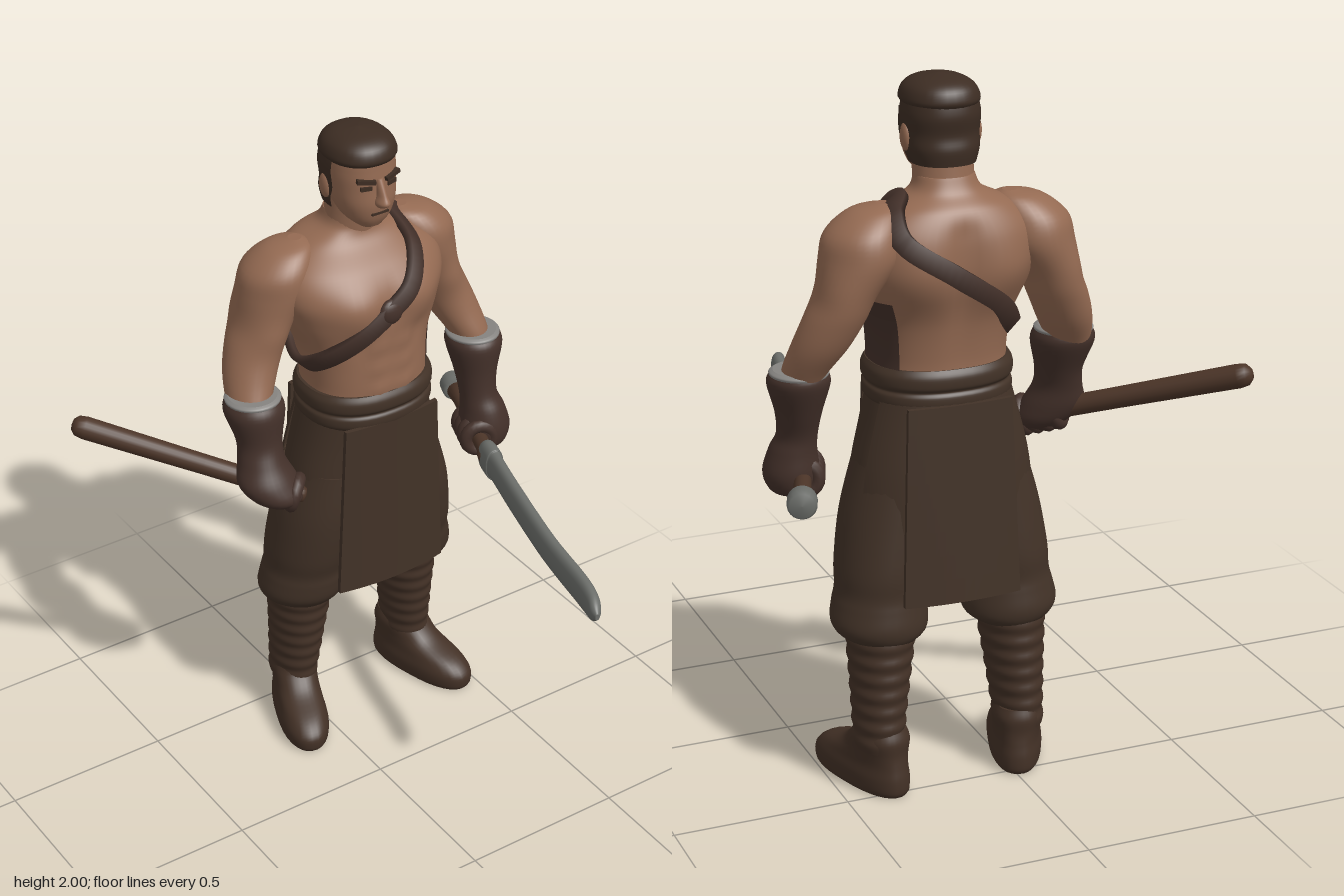
import * as THREE from 'three';

const mat = (name, color, side = THREE.FrontSide) => {
  const m = new THREE.MeshStandardMaterial({ color, side });
  m.name = name;
  return m;
};
const V = (x, y, z) => new THREE.Vector3(x, y, z);
const CX = 0.172; // body centre line
const RAD = Math.PI / 180;

// Surface through a grid of points
function skin(grid, wrapJ, wrapI = false, cap = false) {
  const n = grid[0].length, m = grid.length, pos = [], idx = [];
  grid.forEach(r => r.forEach(p => pos.push(p.x, p.y, p.z)));
  for (let i = 0; i < (wrapI ? m : m - 1); i++)
    for (let j = 0; j < (wrapJ ? n : n - 1); j++) {
      const i2 = (i + 1) % m, j2 = (j + 1) % n;
      const a = i * n + j, b = i2 * n + j, c = i * n + j2, d = i2 * n + j2;
      idx.push(a, b, c, b, d, c);
    }
  if (cap) [grid[0], grid[m - 1]].forEach((ring, top) => {
    const base = pos.length / 3, mid = V(0, 0, 0);
    ring.forEach(p => { pos.push(p.x, p.y, p.z); mid.addScaledVector(p, 1 / n); });
    pos.push(mid.x, mid.y, mid.z);
    for (let j = 0; j < n; j++) {
      const a = base + j, b = base + (j + 1) % n;
      idx.push(base + n, ...(top ? [b, a] : [a, b]));
    }
  });
  const g = new THREE.BufferGeometry();
  g.setAttribute('position', new THREE.Float32BufferAttribute(pos, 3));
  g.setIndex(idx);
  g.computeVertexNormals();
  return g;
}

// Smoothly interpolated section [x, y, z, rx, rz]; t counts rows
function section(rows, t) {
  const k = Math.min(Math.floor(t), rows.length - 2), f = t - k;
  const at = i => rows[Math.max(0, Math.min(rows.length - 1, i))];
  return at(k).map((p1, c) => {
    const p0 = at(k - 1)[c], p2 = at(k + 1)[c], p3 = at(k + 2)[c];
    return p1 + 0.5 * f * (p2 - p0 + f * (2 * p0 - 5 * p1 + 4 * p2 - p3 + f * (3 * (p1 - p2) + p3 - p0)));
  });
}

// Point on a section at an angle (0 = left, 90 = front), with muscle bumps
function ringPoint(s, a, { power = 2, grow = 0, bumps = [] } = {}) {
  const e = v => Math.sign(v) * Math.abs(v) ** (2 / power);
  const c = Math.cos(a), d = Math.sin(a);
  const p = V(s[0] + (Math.max(s[3], 0.001) + grow) * e(c), s[1], s[2] + (Math.max(s[4], 0.001) + grow) * e(d));
  let push = 0;
  for (const [x, y, z, amp, w] of bumps)
    push += amp * Math.exp(-((p.x - x) ** 2 + (p.y - y) ** 2 + (p.z - z) ** 2) / (w * w));
  return p.add(V(c * push, 0, d * push));
}

function loft(list, opt = {}) {
  const { segs = 32, steps = 5, from = 0, to = 360 } = opt;
  const rows = [...list].sort((a, b) => a[1] - b[1]), full = to - from >= 360, grid = [];
  for (let i = 0; i <= (rows.length - 1) * steps; i++) {
    const s = section(rows, i / steps), ring = [];
    for (let j = 0; j < segs + (full ? 0 : 1); j++)
      ring.push(ringPoint(s, (from + (to - from) * j / segs) * RAD, opt));
    grid.push(ring);
  }
  return skin(grid, full, false, full);
}

// Hanging cloth panel, bowed around the body
function panel(wTop, wBottom, y0, y1, zTop, zBottom, bow) {
  const g = new THREE.BoxGeometry(1, y1 - y0, 0.014, 12, 8, 1), p = g.attributes.position;
  for (let i = 0; i < p.count; i++) {
    const t = p.getY(i) / (y1 - y0) + 0.5, x = p.getX(i) * (wBottom + (wTop - wBottom) * t);
    p.setXYZ(i, x, y0 + t * (y1 - y0), p.getZ(i) + zBottom + (zTop - zBottom) * t - bow * x * x);
  }
  g.computeVertexNormals();
  return g;
}

const lathe = pts => new THREE.LatheGeometry(pts.map(p => new THREE.Vector2(...p)), 20);

export function createModel() {
  const skinMat = mat('skin', 0x946a52), hair = mat('hair', 0x3d2d23, THREE.DoubleSide);
  const cloth = mat('cloth', 0x423227, THREE.DoubleSide), leather = mat('leather', 0x44312a, THREE.DoubleSide);
  const boot = mat('bootLeather', 0x433126), wood = mat('wood', 0x4c3528);
  const steel = mat('steel', 0x6c6e6a), trim = mat('cuffTrim', 0x858380);
  const root = new THREE.Group(), body = new THREE.Group();
  root.name = 'warrior'; body.name = 'body';
  body.position.x = CX;
  root.add(body);
  const add = (parent, name, geo, m, x = 0, y = 0, z = 0) => {
    const o = new THREE.Mesh(geo, m);
    o.name = name; o.position.set(x, y, z); parent.add(o);
    return o;
  };

  // Torso with chest, belly, back muscles and spine groove
  const torso = [[0, 1.18, -.35, .19, .16], [0, 1.25, -.35, .187, .16], [0, 1.35, -.36, .2, .165], [0, 1.45, -.375, .24, .182],
    [0, 1.53, -.382, .265, .182], [0, 1.6, -.4, .25, .16], [0, 1.66, -.42, .18, .115], [0, 1.7, -.41, .1, .085], [0, 1.74, -.4, .08, .075]];
  const bumps = [];
  for (const s of [-1, 1]) {
    bumps.push([s * .1, 1.5, -.21, .018, .075], [s * .12, 1.5, -.55, .018, .08], [s * .1, 1.4, -.21, -.008, .04]);
    for (const y of [1.24, 1.31, 1.375]) bumps.push([s * .042, y, -.19, .008, .03]);
  }
  for (let y = 1.25; y < 1.62; y += .05) bumps.push([0, y, -.56, -.012, .04]);
  for (let y = 1.46; y < 1.6; y += .04) bumps.push([0, y, -.19, -.006, .025]);
  const tOpt = { power: 2.3, bumps, segs: 64, steps: 7 };
  add(body, 'torso', loft(torso, tOpt), skinMat);
  add(body, 'flankCloth', loft(torso.slice(0, 3).concat([[0, 1.42, -.37, .226, .176]]),
    { ...tOpt, from: -40, to: 22, segs: 16, grow: .006 }), leather);

  // Diagonal strap that hugs the torso
  const onTorso = (y, deg, off) => {
    let lo = 0, hi = torso.length - 1;
    for (let i = 0; i < 30; i++) { const m = (lo + hi) / 2; section(torso, m)[1] < y ? lo = m : hi = m; }
    return ringPoint(section(torso, lo), deg * RAD, { ...tOpt, grow: off });
  };
  const path = new THREE.CatmullRomCurve3([[1.685, 0], [1.63, 58], [1.55, 79], [1.49, 92], [1.42, 115], [1.35, 150],
    [1.3, 182], [1.32, 215], [1.4, 245], [1.5, 275], [1.6, 308], [1.66, 335]].map(([y, d]) => onTorso(y, d, .008)), true);
  const strap = [];
  for (let i = 0; i < 90; i++) {
    const p = path.getPoint(i / 90), t = path.getTangent(i / 90);
    const n = p.clone().sub(V(0, 1.49, -.38)).projectOnPlane(t).normalize(), w = n.clone().cross(t);
    strap.push([[-1, -1], [-1, 1], [1, 1], [1, -1]].map(([a, b]) => p.clone().addScaledVector(w, a * .027).addScaledVector(n, b * .011)));
  }
  add(body, 'shoulderStrap', skin(strap, true, true), leather);
  const buckle = add(body, 'strapBuckle', new THREE.SphereGeometry(.04, 20, 12), leather, -.008, 1.49, -.188);
  buckle.scale.z = .55;

  // Head, face and short hair
  add(body, 'neck', loft([[0, 1.62, -.42, .1, .085], [0, 1.7, -.4, .085, .08], [0, 1.83, -.385, .08, .08]]), skinMat);
  const head = [[0, 1.725, -.312, .035, .035], [0, 1.755, -.33, .068, .07], [0, 1.8, -.345, .088, .095], [0, 1.85, -.36, .096, .108],
    [0, 1.9, -.365, .098, .11], [0, 1.95, -.365, .088, .1], [0, 1.985, -.365, .04, .05]];
  add(body, 'head', loft(head, { power: 2.3 }), skinMat);
  add(body, 'hairTop', loft([[0, 1.925, -.367, .1, .112], [0, 1.94, -.367, .105, .118], [0, 1.97, -.367, .092, .106],
    [0, 1.99, -.367, .06, .07], [0, 2, -.367, .005, .005]], { power: 2.2 }), hair);
  add(body, 'hairBack', loft([[0, 1.77, -.385, .08, .085], [0, 1.81, -.375, .092, .1], ...head.slice(3, 6)],
    { power: 2.3, from: 172, to: 368, grow: .008 }), hair);
  add(body, 'nose', loft([[0, 1.8, -.25, .012, .015], [0, 1.815, -.245, .02, .032], [0, 1.84, -.25, .013, .025], [0, 1.885, -.262, .012, .014]]), skinMat);
  add(body, 'mouth', new THREE.BoxGeometry(.055, .006, .008), hair, 0, 1.778, -.254);
  for (const s of [-1, 1]) {
    add(body, 'ear', new THREE.SphereGeometry(.035, 14, 10), skinMat, s * .1, 1.84, -.38).scale.set(.4, 1.1, .7);
    add(body, 'eye', new THREE.BoxGeometry(.034, .012, .009), hair, s * .042, 1.862, -.26).rotation.y = s * .25;
    const brow = add(body, 'brow', new THREE.BoxGeometry(.055, .012, .016), hair, s * .043, 1.884, -.259);
    brow.rotation.set(0, s * .28, s * .14);
  }

  // Belt and hips
  add(body, 'belt', loft([[0, 1.11, -.348, .19, .16], [0, 1.125, -.348, .203, .172], [0, 1.15, -.348, .204, .173], [0, 1.163, -.348, .197, .166],
    [0, 1.177, -.348, .206, .174], [0, 1.205, -.348, .206, .174], [0, 1.225, -.348, .196, .163]], { power: 2.3, segs: 48 }), cloth);
  add(body, 'hips', loft([[0, 1.16, -.35, .188, .155], [0, 1.05, -.355, .215, .157], [0, .92, -.358, .246, .157],
    [0, .82, -.36, .25, .15], [0, .75, -.36, .16, .09]], { power: 2.4, segs: 48 }), cloth);
  add(body, 'frontApron', panel(.32, .37, .56, 1.13, -.183, -.182, .6), cloth);
  add(body, 'backApron', panel(.3, .34, .57, 1.13, -.525, -.548, -.5), cloth);
  add(body, 'sideApron', loft([[0, 1.14, -.35, .2, .17], [0, .95, -.357, .25, .18], [0, .785, -.36, .27, .184], [0, .775, -.36, .268, .182]],
    { power: 2.3, from: 200, to: 340 }), cloth);

  for (const s of [-1, 1]) {
    const side = s > 0 ? 'left' : 'right', M = rows => rows.map(([x, ...r]) => [s * x, ...r]);
    // Bare arm from shoulder to wrist
    add(body, side + 'Arm', loft(M([[.18, 1.68, -.42, .02, .02], [.205, 1.662, -.42, .07, .07], [.235, 1.61, -.425, .1, .11], [.248, 1.54, -.43, .103, .118],
      [.29, 1.45, -.43, .082, .1], [.322, 1.38, -.425, .082, .092], [.355, 1.3, -.4, .076, .085], [.385, 1.22, -.36, .06, .072], [.395, 1.15, -.335, .045, .055]]),
      { bumps: [[s * .3, 1.42, -.33, .012, .06], [s * .33, 1.46, -.5, .01, .06], [s * .35, 1.56, -.42, .01, .07]] }), skinMat);
    // Baggy trouser leg gathered below the knee
    add(body, side + 'TrouserLeg', loft(M([[.12, .95, -.36, .12, .145], [.155, .8, -.365, .128, .15], [.18, .66, -.38, .126, .145], [.188, .59, -.388, .122, .134],
      [.19, .55, -.392, .13, .135], [.193, .5, -.4, .136, .134], [.19, .468, -.408, .124, .12], [.188, .445, -.412, .09, .1]])), cloth);
    // Wrapped boot shaft with ridges
    const shaft = [];
    for (let i = 0; i <= 14; i++) {
      const t = i / 14, r = i % 2 ? .004 : -.001;
      shaft.push([.212 - .018 * t, .13 + .34 * t, -.436 + .024 * t, .066 + .03 * t * t ** .3 + r, .086 + .022 * t + r]);
    }
    add(body, side + 'BootShaft', loft(M(shaft), { steps: 4 }), boot);
    // Foot turned outwards
    const foot = add(body, side + 'Foot', loft([[0, 0, .08, .066, .178], [0, .015, .08, .074, .186], [0, .05, .078, .076, .184], [0, .085, .06, .07, .16],
      [0, .12, .02, .068, .115], [0, .16, -.004, .07, .092], [0, .19, -.006, .06, .08]],
      { power: 2.3, bumps: [[0, .04, .2, .008, .09]] }), boot, s * .208, 0, -.436);
    foot.rotation.y = s * (s > 0 ? .27 : .35);
  }

  // Long gloves with pale cuff trim
  const gloves = {
    left: [[.565, 1.215, -.342, .078, .082], [.565, 1.185, -.336, .086, .09], [.561, 1.1, -.32, .064, .072], [.56, 1.03, -.302, .056, .062],
      [.568, .98, -.288, .066, .072], [.572, .915, -.282, .078, .08], [.57, .865, -.28, .06, .066], [.57, .848, -.28, .02, .02]],
    right: [[-.205, 1.25, -.35, .08, .08], [-.205, 1.215, -.344, .09, .09], [-.205, 1.13, -.322, .068, .07], [-.212, 1.07, -.3, .07, .07],
      [-.208, 1.01, -.277, .09, .08], [-.185, .96, -.257, .08, .075], [-.172, .925, -.25, .035, .035]]
  };
  for (const side in gloves) {
    const g = gloves[side], [x, y, z, rx, rz] = g[0];
    add(root, side + 'Glove', loft(g), leather);
    add(root, side + 'CuffTrim', loft([[x, y - .008, z, rx, rz], [x, y + .003, z, rx + .003, rz + .003], [x, y + .01, z, rx - .008, rz - .008]]), trim);
  }

  // Weapon grips: local y runs along the shaft, fingers wrap it
  const grip = (name, a, b, y0) => {
    const g = new THREE.Group();
    g.name = name; g.position.copy(a);
    g.quaternion.setFromUnitVectors(V(0, 1, 0), b.clone().sub(a).normalize());
    for (let i = 0; i < 4; i++)
      add(g, 'finger', new THREE.TorusGeometry(.042, .02, 10, 20).rotateX(Math.PI / 2), leather, 0, y0 + i * .033, 0);
    root.add(g);
    return g;
  };
  const club = grip('club', V(-.125, .955, -.215), V(-.645, 1.155, -.66), .025);
  add(club, 'clubShaft', lathe([[0, -.01], [.02, -.006], [.029, .012], [.03, .3], [.034, .66], [.03, .685], [.016, .698], [0, .7]]), wood);

  const hilt = grip('swordHilt', V(.49, .9, -.15), V(.632, .912, -.54), .09);
  add(hilt, 'swordHandle', lathe([[0, -.02], [.03, -.015], [.03, .01], [.024, .03], [.024, .3], [.03, .355], [0, .36]]), wood);
  add(hilt, 'pommel', lathe([[0, .35], [.034, .352], [.041, .362], [.041, .4], [.034, .412], [0, .415]]), steel);

  // Gently curved single blade
  const blade = add(root, 'swordBlade', loft([[0, -.02, 0, .026, .046], [0, 0, 0, .029, .054], [0, .05, 0, .029, .054], [0, .07, 0, .024, .047],
    [-.006, .25, 0, .024, .047], [-.008, .5, 0, .024, .048], [.004, .7, 0, .024, .049], [.004, .78, 0, .022, .043], [-.002, .82, 0, .018, .03], [-.006, .845, 0, .006, .01]],
    { power: 2.2 }).rotateX(Math.PI / 2), steel, .49, .896, -.145);
  blade.rotation.y = -.2535;

  return root;
}
